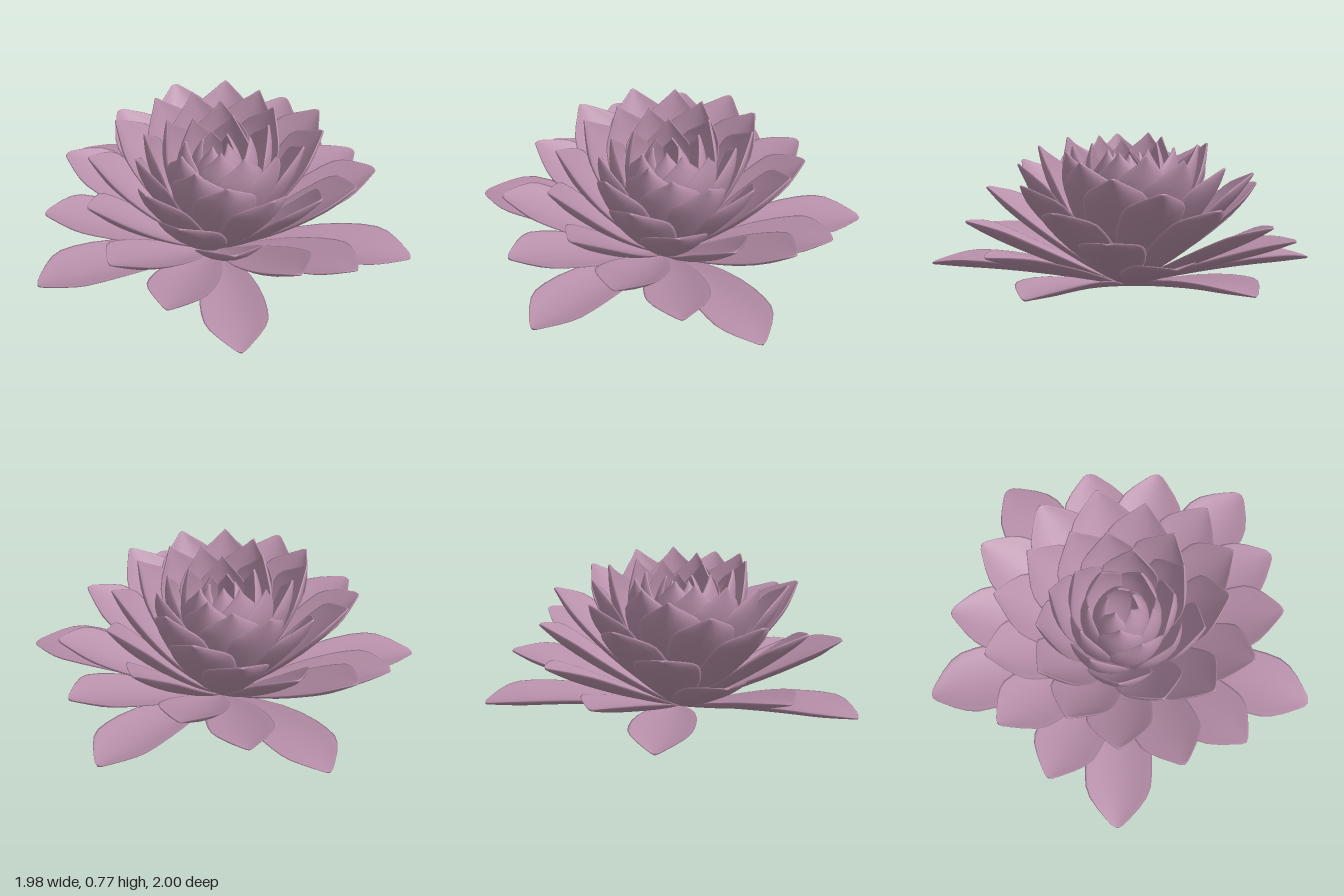
import * as THREE from 'three';

// Each layer of five petals: tip radius, tip height, belly (sag below the chord), half width, cup, tip sharpness
const LAYERS = [
  [1.055, 0.085, -0.06, 0.18, 0.28, 1],
  [0.915, 0.245, 0.0, 0.18, 0.28, 1],
  [0.87, 0.38, 0.03, 0.18, 0.3, 1],
  [0.76, 0.51, 0.05, 0.18, 0.32, 1.05],
  [0.685, 0.615, 0.07, 0.18, 0.34, 1.15],
  [0.585, 0.685, 0.09, 0.18, 0.36, 1.25],
  [0.475, 0.745, 0.12, 0.175, 0.38, 1.4],
  [0.385, 0.77, 0.15, 0.17, 0.4, 1.5],
  [0.285, 0.775, 0.17, 0.158, 0.42, 1.6],
  [0.18, 0.77, 0.18, 0.135, 0.42, 1.6],
  [0.07, 0.73, 0.19, 0.115, 0.42, 1.6],
];

// Petal outline: [position along the petal, share of the half width]
const OUTLINE = [
  [0, 0.04], [0.1, 0.27], [0.22, 0.53], [0.35, 0.75], [0.48, 0.9], [0.6, 0.98],
  [0.7, 1], [0.78, 0.97], [0.84, 0.85], [0.9, 0.62], [0.96, 0.33], [0.99, 0.17], [1, 0.06],
];
const RING = 18;

// Closed, cupped petal growing along +x, lofted from lens-shaped cross-sections
function petalGeometry([tipR, tipY, belly, halfWidth, cup, sharpness]) {
  const base = new THREE.Vector2(0.012, 0.008);
  const tip = new THREE.Vector2(tipR, tipY);
  const chord = tip.clone().sub(base).normalize();
  const control = base.clone().lerp(tip, 0.55).add(new THREE.Vector2(chord.y, -chord.x).multiplyScalar(belly));
  const spine = new THREE.QuadraticBezierCurve(base, control, tip);

  const positions = [], indices = [];
  for (const [t, share] of OUTLINE) {
    const p = spine.getPoint(t), d = spine.getTangent(t);
    const w = halfWidth * (t > 0.7 ? share ** sharpness : share);
    const thick = 0.005 + 0.011 * share;
    for (let j = 0; j < RING; j++) {
      const a = (j / RING) * Math.PI * 2;
      const u = Math.cos(a);
      const lift = cup * w * u * u + thick * Math.sin(a);
      positions.push(p.x - d.y * lift, Math.max(0, p.y + d.x * lift), w * u);
    }
  }
  const last = OUTLINE.length - 1;
  for (let i = 0; i < last; i++) {
    for (let j = 0; j < RING; j++) {
      const a = i * RING + j, b = i * RING + (j + 1) % RING;
      indices.push(a, a + RING, b, b, a + RING, b + RING);
    }
  }
  // End caps
  for (let j = 1; j < RING - 1; j++) {
    const e = last * RING;
    indices.push(0, j, j + 1, e, e + j + 1, e + j);
  }
  const geometry = new THREE.BufferGeometry();
  geometry.setAttribute('position', new THREE.Float32BufferAttribute(positions, 3));
  geometry.setIndex(indices);
  geometry.computeVertexNormals();
  return geometry;
}

export function createModel() {
  const flower = new THREE.Group();
  flower.name = 'lotusFlower';
  const mauve = new THREE.MeshStandardMaterial({ color: 0xb78fa9 });
  mauve.name = 'mauve';

  // Every layer is turned a third of the petal spacing from the one below
  LAYERS.forEach((layer, i) => {
    const ring = new THREE.Group();
    ring.name = `petalLayer${i + 1}`;
    const geometry = petalGeometry(layer);
    for (let k = 0; k < 5; k++) {
      const petal = new THREE.Mesh(geometry, mauve);
      petal.name = 'petal';
      petal.rotation.y = THREE.MathUtils.degToRad(101 - 24 * i + 72 * k);
      ring.add(petal);
    }
    flower.add(ring);
  });

  // The blossom's heart sits slightly off the middle of its bounds
  flower.position.set(0.06, 0, 0.03);
  const model = new THREE.Group();
  model.name = 'lotus';
  model.add(flower);
  return model;
}
